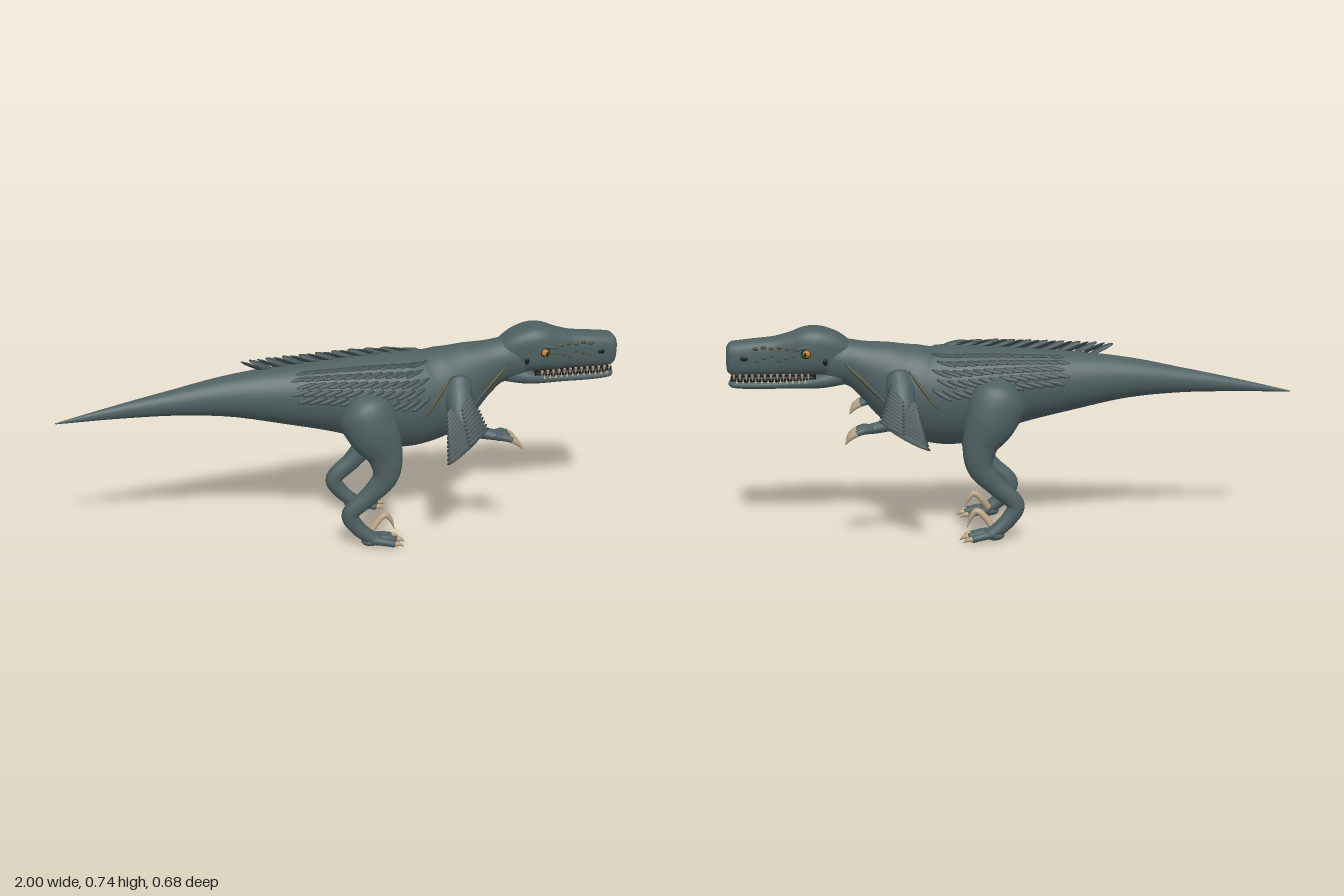
import * as THREE from 'three';
import { mergeGeometries } from 'three/addons/utils/BufferGeometryUtils.js';

const mat = (name, color, side = THREE.FrontSide) => {
  const m = new THREE.MeshStandardMaterial({ color, side });
  m.name = name;
  return m;
};
const V = (x, y, z) => new THREE.Vector3(x, y, z);

// Smooth skin over cross-sections [x, y, z, halfHeight, halfWidth]; power > 2 squares the section
function loft(sections, steps = 40, sides = 28, power = 2) {
  const path = new THREE.CatmullRomCurve3(sections.map(s => V(s[0], s[1], s[2])));
  const size = new THREE.CatmullRomCurve3(sections.map(s => V(s[3], s[4], 0)));
  const pos = [], idx = [];
  const bend = v => Math.sign(v) * Math.abs(v) ** (2 / power);
  for (let i = 0; i <= steps; i++) {
    const c = path.getPoint(i / steps), r = size.getPoint(i / steps);
    const t = path.getPoint(Math.min(1, i / steps + 0.01)).sub(path.getPoint(Math.max(0, i / steps - 0.01))).normalize();
    const side = V(0, 0, 1).addScaledVector(t, -t.z).normalize();
    const up = side.clone().cross(t);
    for (let j = 0; j < sides; j++) {
      const a = j / sides * Math.PI * 2;
      const p = c.clone().addScaledVector(side, bend(Math.cos(a)) * Math.max(r.y, 0.001))
        .addScaledVector(up, bend(Math.sin(a)) * Math.max(r.x, 0.001));
      pos.push(p.x, p.y, p.z);
      if (i < steps) {
        const k = i * sides + j, n = i * sides + (j + 1) % sides;
        idx.push(k, k + sides, n, n, k + sides, n + sides);
      }
    }
  }
  // end caps
  for (const i of [0, steps]) {
    const c = path.getPoint(i / steps), centre = pos.length / 3;
    pos.push(c.x, c.y, c.z);
    for (let j = 0; j < sides; j++) {
      const k = i * sides + j, n = i * sides + (j + 1) % sides;
      if (i === 0) idx.push(centre, k, n); else idx.push(centre, n, k);
    }
  }
  const g = new THREE.BufferGeometry();
  g.setAttribute('position', new THREE.Float32BufferAttribute(pos, 3));
  g.setIndex(idx);
  g.computeVertexNormals();
  return g;
}

// Thin leaf-shaped feather from root to tip, facing along normal
function feather(root, tip, width, normal, thick = 0.004) {
  const x = tip.clone().sub(root), len = x.length();
  x.normalize();
  const z = normal.clone().addScaledVector(x, -normal.dot(x)).normalize();
  const y = z.clone().cross(x);
  const g = new THREE.SphereGeometry(1, 10, 8).scale(len / 2, width / 2, thick);
  const c = root.clone().add(tip).multiplyScalar(0.5);
  return g.applyMatrix4(new THREE.Matrix4().makeBasis(x, y, z).setPosition(c));
}
const ball = (x, y, z, rx, ry, rz) => new THREE.SphereGeometry(1, 14, 10).scale(rx, ry, rz).translate(x, y, z);

const BODY = [
  [-1, 0.486, 0, 0.002, 0.002], [-0.8, 0.512, 0, 0.023, 0.018], [-0.6, 0.533, 0, 0.045, 0.04],
  [-0.4, 0.545, 0, 0.074, 0.065], [-0.2, 0.537, 0, 0.107, 0.092], [0, 0.522, 0, 0.139, 0.122],
  [0.12, 0.505, 0, 0.165, 0.137], [0.22, 0.493, 0, 0.179, 0.142], [0.32, 0.505, 0, 0.17, 0.132],
  [0.4, 0.54, 0, 0.147, 0.112], [0.48, 0.58, 0, 0.112, 0.085], [0.56, 0.61, 0, 0.082, 0.068],
  [0.63, 0.62, 0, 0.08, 0.066], [0.68, 0.625, 0, 0.06, 0.055]];

// Point on the body surface at x and angle (0 = side, 90 = top)
function onBody(x, deg) {
  const i = BODY.findIndex(s => s[0] > x), a = BODY[i - 1], b = BODY[i];
  const v = a.map((n, k) => n + (b[k] - n) * (x - a[0]) / (b[0] - a[0])), r = deg * Math.PI / 180;
  return V(x, v[1] + v[3] * Math.sin(r), v[4] * Math.cos(r));
}

export function createModel() {
  const model = new THREE.Group();
  const skin = mat('skin', 0x4e5f60), plume = mat('feathers', 0x3f4d4e), horn = mat('claws and teeth', 0xb9a384);
  const dark = mat('mouth and pupils', 0x15191a), amber = mat('eyes', 0xc48414), olive = mat('scales and quills', 0x4c4b30);
  const add = (name, geos, material, parent = model) => {
    const mesh = new THREE.Mesh(Array.isArray(geos) ? mergeGeometries(geos) : geos, material);
    mesh.name = name;
    parent.add(mesh);
  };

  add('body', loft(BODY, 80, 40), skin);

  // Head and jaws
  add('skullAndSnout', loft([
    [0.58, 0.63, 0, 0.055, 0.05], [0.64, 0.648, 0, 0.078, 0.068], [0.7, 0.658, 0, 0.085, 0.077],
    [0.76, 0.648, 0, 0.077, 0.068], [0.83, 0.64, 0, 0.067, 0.056], [0.93, 0.634, 0, 0.063, 0.054],
    [0.98, 0.631, 0, 0.06, 0.051], [0.997, 0.63, 0, 0.045, 0.04], [1, 0.63, 0, 0.025, 0.02]], 48, 32, 3), skin);
  add('lowerJaw', loft([
    [0.6, 0.565, 0, 0.03, 0.05], [0.68, 0.552, 0, 0.027, 0.064], [0.8, 0.543, 0, 0.017, 0.055],
    [0.93, 0.541, 0, 0.015, 0.05], [0.98, 0.543, 0, 0.013, 0.042], [0.995, 0.546, 0, 0.006, 0.022]], 32, 28, 2.6), skin);
  add('mouthInterior', loft([
    [0.69, 0.566, 0, 0.012, 0.06], [0.8, 0.564, 0, 0.013, 0.052], [0.93, 0.563, 0, 0.013, 0.048],
    [0.985, 0.563, 0, 0.01, 0.036]], 20, 20, 3), dark);

  const teeth = [];
  for (const s of [-1, 1]) for (let i = 0; i < 13; i++) {
    const x = 0.715 + i * 0.0215, z = s * (0.062 - 0.011 * Math.min(1, i / 6) - (i > 11 ? 0.01 : 0));
    teeth.push(new THREE.ConeGeometry(0.0058, 0.026, 6).rotateX(Math.PI).translate(x, 0.569, z));
    if (i < 12) teeth.push(new THREE.ConeGeometry(0.0045, 0.018, 6).translate(x + 0.011, 0.56, z * 0.96));
  }
  add('teeth', teeth, horn);

  // Crest of feathers along the spine
  const crest = [];
  for (let i = 0; i < 19; i++) {
    const root = onBody(0.25 - i * 0.029, 90);
    const tip = root.clone().add(V(-0.085, 0.012 + 0.0012 * i, 0));
    root.y -= 0.006;
    crest.push(feather(root, tip, 0.022, V(0, 0.75, i % 2 ? 0.65 : -0.65)));
  }
  add('spineCrest', crest, plume);

  for (const s of [-1, 1]) {
    const side = new THREE.Group();
    side.name = s > 0 ? 'leftSide' : 'rightSide';
    model.add(side);
    const P = (x, y, z) => V(x, y, z * s);
    const limb = (pts, steps, sides) => loft(pts.map(p => [p[0], p[1], p[2] * s, p[3], p[4]]), steps, sides);

    // Eye, brow, nostril, face scales
    add('eye', ball(0.718, 0.655, s * 0.076, 0.014, 0.013, 0.012), amber, side);
    add('pupil', ball(0.722, 0.655, s * 0.086, 0.005, 0.008, 0.003), dark, side);
    add('eyeSocket', ball(0.717, 0.655, s * 0.07, 0.021, 0.019, 0.01), dark, side);
    add('brow', feather(P(0.685, 0.683, 0.07), P(0.765, 0.667, 0.068), 0.014, P(0, 0.3, 1), 0.009), skin, side);
    add('nostril', ball(0.935, 0.638, s * 0.053, 0.013, 0.009, 0.004), dark, side);
    add('earHole', ball(0.655, 0.625, s * 0.069, 0.008, 0.012, 0.005), dark, side);
    const scales = [];
    for (let i = 0; i < 6; i++) {
      scales.push(ball(0.755 + i * 0.028, 0.676 - (i % 2) * 0.004, s * (0.063 - Math.min(i, 3) * 0.004), 0.01, 0.007, 0.006));
      scales.push(ball(0.765 + i * 0.025, 0.647 - (i % 3) * 0.008, s * (0.067 - Math.min(i, 3) * 0.0035), 0.006, 0.005, 0.004));
    }
    add('faceScales', scales, olive, side);

    // Quills behind the jaw
    const quills = [];
    for (let i = 0; i < 6; i++) {
      const x = 0.59 - i * 0.012, y = 0.62 - i * 0.012;
      quills.push(feather(P(x, y, 0.067 + i * 0.003), P(x - 0.085, y - 0.075, 0.098 + i * 0.004), 0.012, P(0.2, 0.3, 1)));
    }
    add('neckQuills', quills.slice(0, 3), olive, side);
    add('neckFeathers', quills.slice(3), plume, side);
    add('shoulderQuill', feather(P(0.37, 0.6, 0.108), P(0.27, 0.47, 0.149), 0.012, P(0, 0.2, 1)), olive, side);

    // Rows of flank feathers
    const flank = [];
    for (let row = 0; row < 5; row++) for (let i = 0; i < 12; i++) {
      const x = 0.29 - i * 0.036 - (row % 2) * 0.018, deg = 12 + row * 12;
      const root = onBody(x, deg), tip = onBody(x - 0.07, deg - 11), r = deg * Math.PI / 180;
      const out = V(0, Math.sin(r), Math.cos(r));
      tip.addScaledVector(out, 0.016);
      root.z *= s; tip.z *= s; out.z *= s;
      flank.push(feather(root, tip, 0.016, out));
    }
    add('flankFeathers', flank, plume, side);

    // Leg
    add('leg', limb([
      [0.04, 0.54, 0.1, 0.05, 0.05], [0.06, 0.49, 0.13, 0.1, 0.075], [0.09, 0.42, 0.15, 0.09, 0.066],
      [0.125, 0.34, 0.16, 0.062, 0.046], [0.125, 0.265, 0.163, 0.046, 0.038], [0.07, 0.195, 0.16, 0.034, 0.032],
      [0.0, 0.125, 0.157, 0.031, 0.026], [0.025, 0.075, 0.158, 0.028, 0.026], [0.07, 0.035, 0.16, 0.024, 0.03],
      [0.105, 0.022, 0.16, 0.016, 0.032]], 56, 24), skin, side);
    add('heelPad', ball(0.075, 0.018, s * 0.16, 0.035, 0.018, 0.03), skin, side);
    const toes = [], toeClaws = [];
    for (const k of [-1, 0, 1]) {
      const z = 0.16 + k * 0.038, f = k ? 0 : 0.012;
      toes.push(limb([[0.07, 0.025, 0.16 + k * 0.014, 0.016, 0.014], [0.115 + f, 0.022, 0.16 + k * 0.03, 0.014, 0.013],
        [0.155 + f, 0.013, z, 0.012, 0.011]], 10, 12));
      toeClaws.push(limb([[0.148 + f, 0.014, z, 0.01, 0.009], [0.17 + f, 0.013, z, 0.008, 0.007],
        [0.187 + f, 0.003, z, 0.001, 0.001]], 8, 10));
    }
    add('toes', toes, skin, side);
    add('toeClaws', toeClaws, horn, side);
    add('sickleClaw', limb([[0.08, 0.035, 0.13, 0.012, 0.012], [0.105, 0.072, 0.123, 0.012, 0.013],
      [0.135, 0.095, 0.12, 0.011, 0.013], [0.155, 0.075, 0.118, 0.008, 0.01], [0.17, 0.035, 0.117, 0.001, 0.001]], 24, 14), horn, side);

    // Arm, hand and wing
    add('arm', limb([
      [0.4, 0.56, 0.07, 0.05, 0.06], [0.395, 0.52, 0.115, 0.05, 0.052], [0.39, 0.475, 0.165, 0.036, 0.036],
      [0.41, 0.445, 0.205, 0.029, 0.03], [0.455, 0.432, 0.228, 0.021, 0.024], [0.5, 0.425, 0.24, 0.017, 0.028],
      [0.52, 0.42, 0.242, 0.012, 0.024]], 36, 20), skin, side);
    const fingers = [], claws = [];
    for (const k of [-1, 0, 1]) {
      const z = 0.242 + k * 0.04;
      fingers.push(limb([[0.495, 0.425, 0.242 + k * 0.016, 0.013, 0.012], [0.525, 0.425, 0.242 + k * 0.034, 0.012, 0.011],
        [0.55, 0.416, z, 0.01, 0.01]], 10, 12));
      claws.push(limb([[0.545, 0.419, z, 0.011, 0.0105], [0.567, 0.405, z, 0.009, 0.009], [0.585, 0.382, z, 0.002, 0.003]], 8, 10));
    }
    add('fingers', fingers, skin, side);
    add('fingerClaws', claws, horn, side);
    const wing = [], coverts = [];
    for (let i = 0; i < 12; i++) {
      const t = i / 11;
      const root = P(0.42 + 0.04 * t, 0.545 - 0.105 * t, 0.125 + 0.105 * t);
      const tip = P(0.335 - 0.035 * t, 0.475 - 0.105 * t, 0.185 + 0.155 * t);
      wing.push(feather(root, tip, 0.026, P(0.45, 0.75, 0.5)));
      const lift = P(0.012, 0.014, 0.008);
      coverts.push(feather(root.clone().add(lift), root.clone().lerp(tip, 0.55).add(lift), 0.018, P(0.45, 0.75, 0.5)));
    }
    add('wingFeathers', wing, plume, side);
    add('wingCoverts', coverts, plume, side);
  }
  return model;
}
